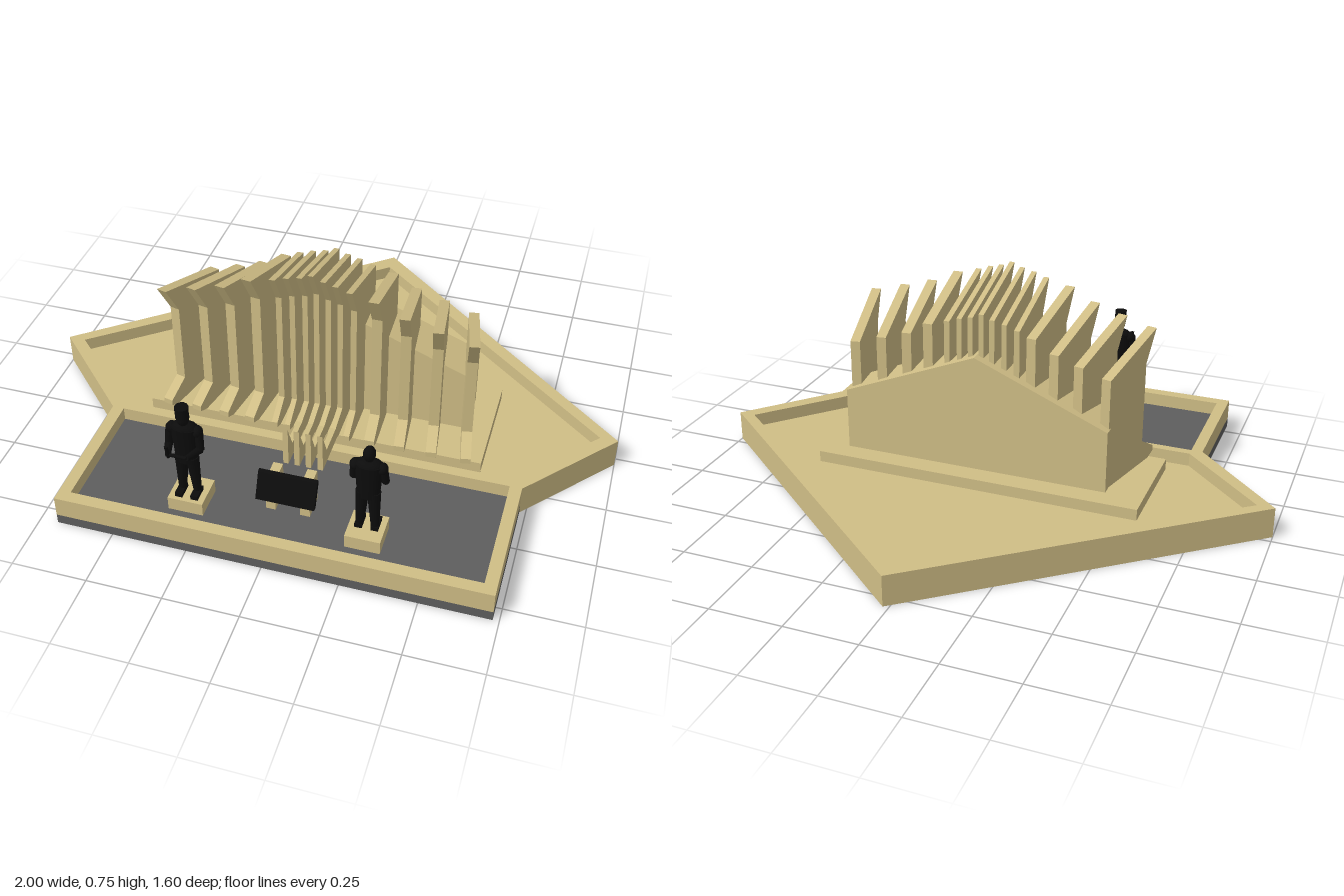
import * as THREE from 'three';

const mat = (color) => new THREE.MeshStandardMaterial({ color, side: THREE.DoubleSide });

export function createModel() {
  const model = new THREE.Group();
  const tan = mat(0xd0be86), dark = mat(0x5e5e5e), black = mat(0x0c0c0c);

  const add = (name, geometry, material, parent = model) => {
    const mesh = new THREE.Mesh(geometry, material);
    mesh.name = name;
    parent.add(mesh);
    return mesh;
  };
  const shapeOf = (pts) => new THREE.Shape(pts.map(([a, b]) => new THREE.Vector2(a, b)));
  const extrude = (shape, depth) => new THREE.ExtrudeGeometry(shape, { depth, bevelEnabled: false });
  // Plan outline in (x, z) raised from y0 to y1
  const plan = (name, pts, y0, y1, material, hole) => {
    const flip = (list) => list.map(([x, z]) => [x, -z]);
    const shape = shapeOf(flip(pts));
    if (hole) shape.holes.push(shapeOf(flip(hole)));
    const geo = extrude(shape, y1 - y0).rotateX(-Math.PI / 2).translate(0, y0, 0);
    return add(name, geo, material);
  };
  // Box given by its extents
  const box = (name, x0, x1, y0, y1, z0, z1, material, parent) =>
    add(name, new THREE.BoxGeometry(x1 - x0, y1 - y0, z1 - z0)
      .translate((x0 + x1) / 2, (y0 + y1) / 2, (z0 + z1) / 2), material, parent);
  // Side profile in (z, y) with a thickness along x
  const profile = (name, pts, thickness, material) => {
    const geo = extrude(shapeOf(pts), thickness).translate(0, 0, -thickness / 2).rotateY(-Math.PI / 2);
    return add(name, geo, material);
  };

  // Five-sided rear basin with a raised rim
  const outer = [[-0.69, 0.34], [0.73, 0.34], [1, 0.03], [0.02, -0.8], [-1, 0.03]];
  const inner = [[-0.65, 0.31], [0.69, 0.31], [0.94, 0.03], [0.02, -0.73], [-0.94, 0.03]];
  plan('rearRim', outer, 0, 0.108, tan, inner);
  plan('rearFloor', inner, 0, 0.06, tan);
  box('plinth', -0.58, 0.58, 0.06, 0.1, -0.13, 0.255, tan);

  // Front pool
  box('poolBase', -0.69, 0.73, 0, 0.035, 0.34, 0.8, dark);
  box('poolFloor', -0.65, 0.69, 0.035, 0.06, 0.34, 0.76, dark);
  plan('poolRim', [[-0.69, 0.34], [-0.69, 0.8], [0.73, 0.8], [0.73, 0.34],
    [0.69, 0.34], [0.69, 0.76], [-0.65, 0.76], [-0.65, 0.34]], 0.035, 0.108, tan);

  // Gabled wall tying the fins together
  add('gableWall', extrude(shapeOf([[-0.45, 0.1], [0.5, 0.1], [0.5, 0.32], [0.02, 0.515], [-0.45, 0.32]]), 0.155)
    .translate(0, 0, -0.055), tan);

  // Fins: back x, front x, peak height, thickness
  const fins = [
    [-0.43, -0.505, 0.585, 0.034], [-0.335, -0.4, 0.615, 0.034], [-0.25, -0.3, 0.645, 0.034], [-0.17, -0.208, 0.69, 0.034],
    [-0.12, -0.12, 0.71, 0.02], [-0.075, -0.075, 0.725, 0.018], [-0.032, -0.032, 0.735, 0.018], [0.006, 0.006, 0.75, 0.018],
    [0.045, 0.045, 0.735, 0.018], [0.085, 0.085, 0.725, 0.018], [0.13, 0.13, 0.71, 0.02],
    [0.2, 0.208, 0.69, 0.034], [0.28, 0.308, 0.645, 0.034], [0.375, 0.415, 0.615, 0.034], [0.475, 0.53, 0.585, 0.034],
  ];
  fins.forEach(([xb, xf, top, thickness], i) => {
    const withArm = i >= 6 && i <= 9;
    // Central fins carry a low arm ending in an upright spike
    const foot = withArm
      ? [[0.315, 0.16], [0.42, 0.16], [0.465, 0.255], [0.465, 0.108], [0.3, 0.108], [0.28, 0.1]]
      : [[0.315, 0.135], [0.315, 0.115], [0.28, 0.1]];
    const fin = profile('fin', [[0, 0.1], [0, top - 0.09], [0.295, top], [0.235, top - 0.11],
      [0.235, 0.183], ...foot], thickness, tan);
    fin.position.set(xb, 0, -0.025);
    fin.rotation.y = Math.atan2(xf - xb, 0.295);
  });

  // Tilted display panel on two wedge supports
  profile('displayPanel', [[0.622, 0.108], [0.605, 0.108], [0.568, 0.19], [0.575, 0.2], [0.585, 0.195]], 0.195, black)
    .position.x = 0.022;
  for (const x of [-0.03, 0.084])
    profile('panelSupport', [[0.52, 0.06], [0.52, 0.183], [0.572, 0.183], [0.605, 0.108], [0.605, 0.06]], 0.032, tan)
      .position.x = x;

  // Standing figures on pedestals; local front is +z
  const limb = (name, a, b, r0, r1, parent) => {
    const from = new THREE.Vector3(...a), to = new THREE.Vector3(...b);
    const dir = to.clone().sub(from);
    const mesh = add(name, new THREE.CylinderGeometry(r1, r0, dir.length(), 10), black, parent);
    mesh.position.copy(from).addScaledVector(dir, 0.5);
    mesh.quaternion.setFromUnitVectors(new THREE.Vector3(0, 1, 0), dir.normalize());
    return mesh;
  };
  const ball = (name, x, y, z, rx, ry, rz, parent) =>
    add(name, new THREE.SphereGeometry(1, 12, 8).scale(rx, ry, rz).translate(x, y, z), black, parent);
  const figure = (name) => {
    const g = new THREE.Group();
    g.name = name;
    for (const s of [-1, 1]) {
      limb('leg', [s * 0.025, 0.005, -0.005], [s * 0.018, 0.16, 0], 0.013, 0.022, g);
      box('shoe', s * 0.026 - 0.012, s * 0.026 + 0.012, 0, 0.016, -0.02, 0.034, black, g);
      ball('shoulder', s * 0.042, 0.268, 0, 0.018, 0.02, 0.02, g);
    }
    add('torso', new THREE.CylinderGeometry(0.046, 0.036, 0.14, 12).scale(1, 1, 0.66).translate(0, 0.21, 0), black, g);
    ball('chest', 0, 0.275, 0, 0.044, 0.022, 0.029, g);
    limb('neck', [0, 0.27, 0], [0, 0.31, 0.003], 0.015, 0.014, g);
    ball('head', 0, 0.318, 0.004, 0.02, 0.028, 0.023, g);
    model.add(g);
    return g;
  };

  // First figure: tall hat, forearms held forward with a short baton
  const first = figure('hattedFigure');
  first.position.set(-0.286, 0.108, 0.648);
  add('hat', new THREE.CylinderGeometry(0.022, 0.021, 0.042, 12).translate(0, 0.344, 0.008), black, first);
  for (const s of [-1, 1]) {
    limb('upperArm', [s * 0.046, 0.272, 0], [s * 0.052, 0.205, 0.01], 0.015, 0.013, first);
    limb('forearm', [s * 0.052, 0.205, 0.01], [s * 0.03, 0.215, 0.07], 0.013, 0.009, first);
  }
  limb('baton', [-0.03, 0.205, 0.068], [-0.03, 0.258, 0.08], 0.006, 0.006, first);
  limb('crossbar', [-0.03, 0.216, 0.07], [0.03, 0.216, 0.07], 0.006, 0.006, first);

  // Second figure: shorter, turned towards the fins, hands lowered in front
  const second = figure('bareheadedFigure');
  second.position.set(0.296, 0.108, 0.63);
  second.scale.set(1, 0.94, 1);
  second.rotation.y = Math.PI;
  for (const s of [-1, 1]) {
    limb('upperArm', [s * 0.044, 0.272, 0], [s * 0.05, 0.205, 0.012], 0.015, 0.013, second);
    limb('forearm', [s * 0.05, 0.205, 0.012], [s * 0.032, 0.168, 0.05], 0.013, 0.008, second);
    ball('hand', s * 0.03, 0.165, 0.052, 0.009, 0.01, 0.009, second);
  }

  box('pedestal', -0.345, -0.228, 0.06, 0.108, 0.58, 0.695, tan);
  box('pedestal', 0.238, 0.353, 0.06, 0.108, 0.58, 0.695, tan);
  return model;
}
